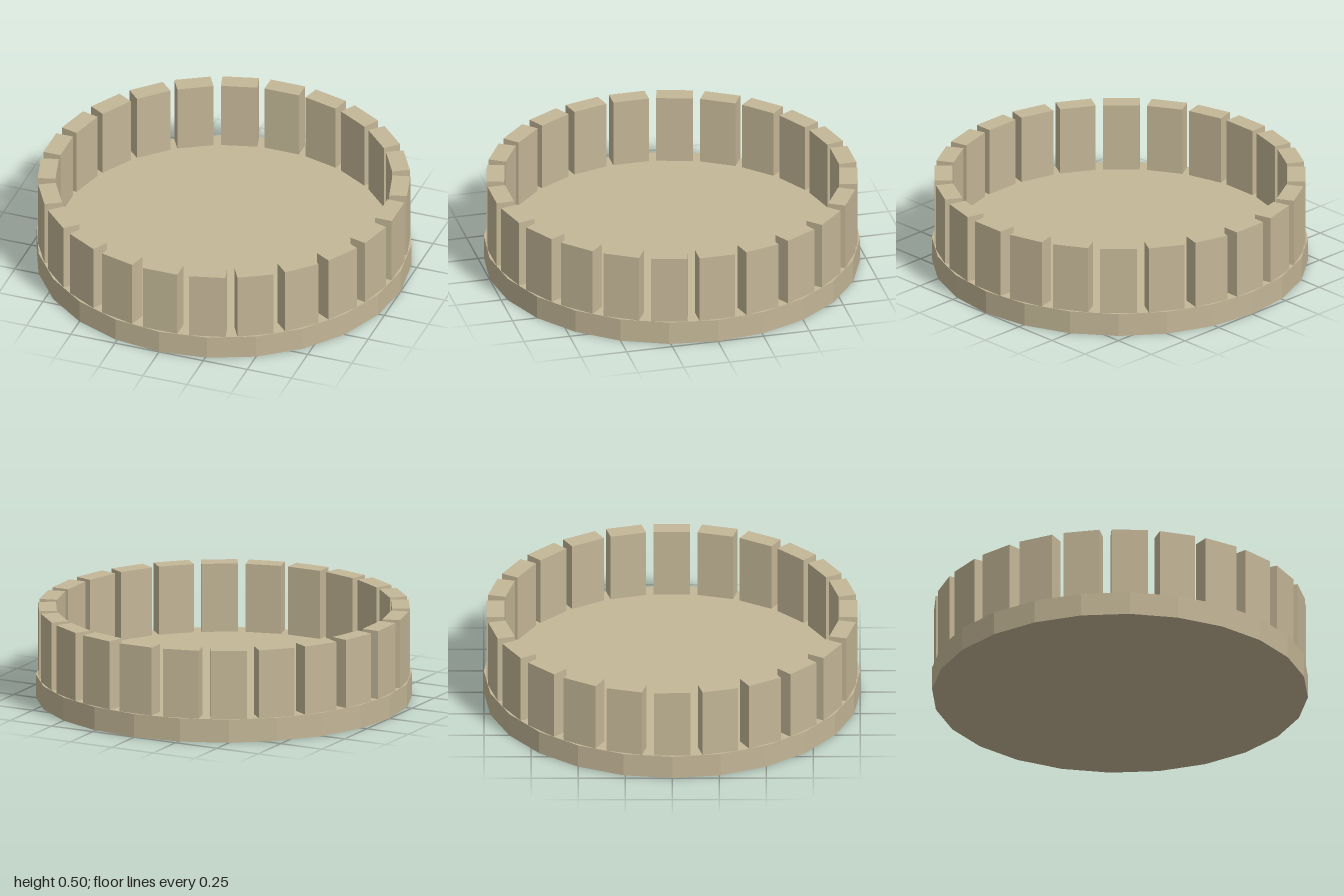
import * as THREE from 'three';

export function createModel() {
  const model = new THREE.Group();
  const material = new THREE.MeshStandardMaterial({ color: 0xc4b797, flatShading: true });

  const count = 24;
  const baseHeight = 0.127;
  const totalHeight = 0.5;

  // Faceted disc, one side per block, with a corner on each axis
  const base = new THREE.Mesh(new THREE.CylinderGeometry(1, 1, baseHeight, count), material);
  base.name = 'base';
  base.position.y = baseHeight / 2;
  model.add(base);

  // Ring of upright blocks along the rim
  const ring = new THREE.Group();
  ring.name = 'blockRing';
  const height = totalHeight - baseHeight;
  const blockGeometry = new THREE.BoxGeometry(0.195, height, 0.095);
  const radius = 0.938;
  for (let i = 0; i < count; i++) {
    const angle = (i / count) * Math.PI * 2;
    const block = new THREE.Mesh(blockGeometry, material);
    block.name = `block${i + 1}`;
    block.position.set(Math.sin(angle) * radius, baseHeight + height / 2, Math.cos(angle) * radius);
    block.rotation.y = angle;
    ring.add(block);
  }
  model.add(ring);

  return model;
}
